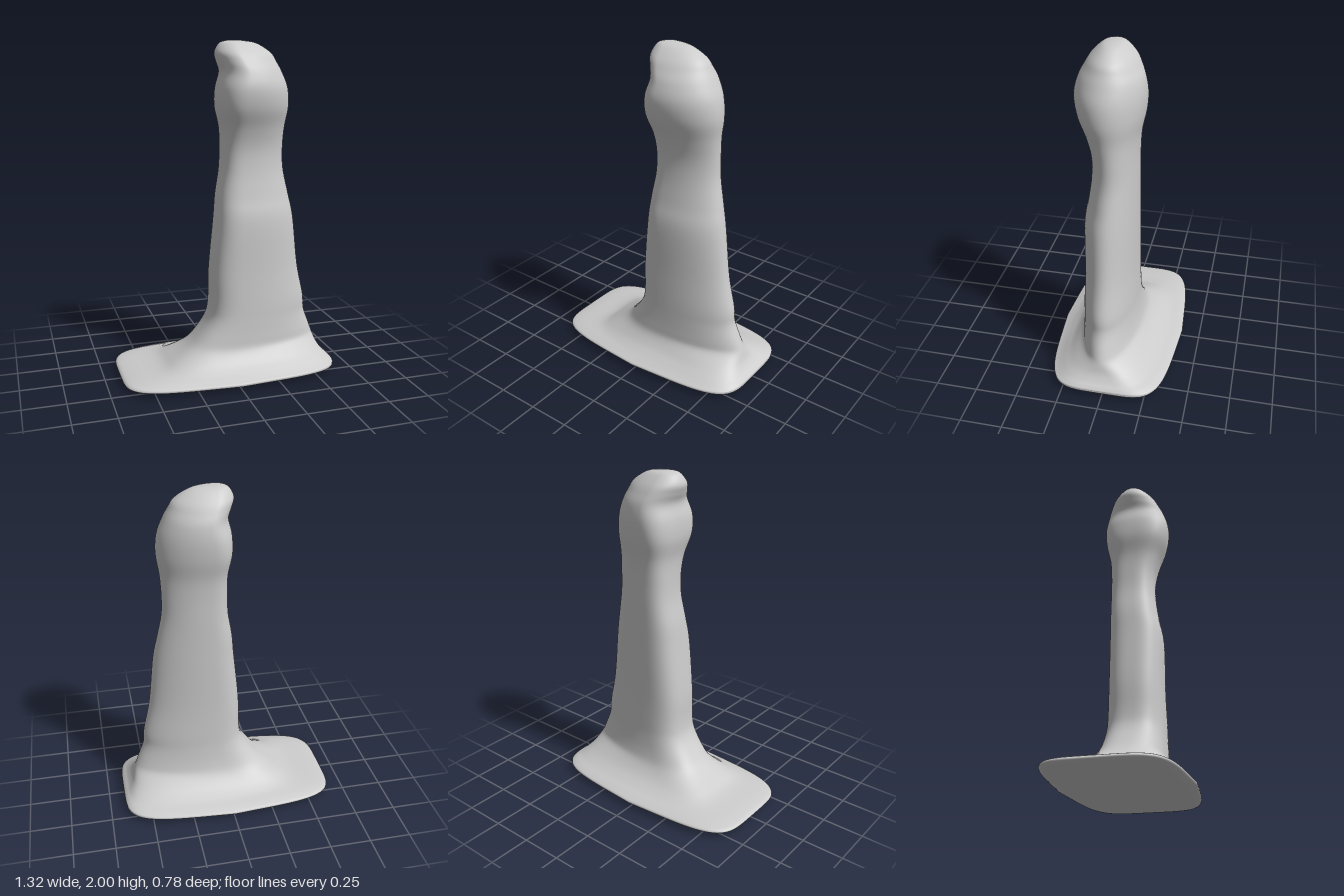
import * as THREE from 'three';

// Cross-sections from bottom to top: y, right edge x, left edge x, back z, front z
const SECTIONS = [
  [0.005, 0, 0, 0, 0],
  [0.0, -0.3, 0.34, -0.19, 0.19],
  [0.018, -0.62, 0.62, -0.36, 0.36],
  [0.04, -0.655, 0.655, -0.39, 0.39],
  [0.058, -0.59, 0.645, -0.355, 0.36],
  [0.08, -0.43, 0.62, -0.29, 0.32],
  [0.12, -0.345, 0.592, -0.22, 0.265],
  [0.18, -0.255, 0.572, -0.165, 0.22],
  [0.25, -0.19, 0.545, -0.14, 0.21],
  [0.35, -0.125, 0.507, -0.125, 0.205],
  [0.45, -0.105, 0.498, -0.12, 0.203],
  [0.65, -0.1, 0.455, -0.115, 0.2],
  [0.95, -0.07, 0.42, -0.115, 0.2],
  [1.1, -0.055, 0.39, -0.115, 0.175],
  [1.25, -0.03, 0.36, -0.115, 0.155],
  [1.38, -0.025, 0.355, -0.115, 0.155],
  [1.5, -0.03, 0.36, -0.122, 0.185],
  [1.62, -0.055, 0.375, -0.145, 0.235],
  [1.73, -0.055, 0.365, -0.152, 0.252],
  [1.82, -0.037, 0.33, -0.14, 0.23],
  [1.88, -0.057, 0.298, -0.115, 0.2],
  [1.93, -0.07, 0.265, -0.085, 0.168],
  [1.98, -0.045, 0.185, -0.035, 0.115],
  [1.996, -0.01, 0.11, 0.0, 0.08],
  [2.0, 0.04, 0.04, 0.04, 0.04],
];
const AROUND = 96;
const STEPS = 5;
const { lerp, smoothstep } = THREE.MathUtils;

// Catmull-Rom blend of four neighbouring values
function spline(a, b, c, d, t) {
  const m0 = (c - a) / 2, m1 = (d - b) / 2;
  return b + m0 * t + (3 * (c - b) - 2 * m0 - m1) * t * t + (2 * (b - c) + m0 + m1) * t * t * t;
}

function sectionAt(i, t) {
  const row = (n) => SECTIONS[Math.min(Math.max(n, 0), SECTIONS.length - 1)];
  return row(i).map((v, c) => spline(row(i - 1)[c], v, row(i + 1)[c], row(i + 2)[c], t));
}

// One ring: a broad rounded slab low down, an egg-shaped column above, a narrow brow at the top
function addRing(out, [y, x0, x1, z0, z1]) {
  const base = 1 - smoothstep(y, 0.04, 0.2);
  const head = smoothstep(y, 1.6, 1.9);
  const xc = lerp(x0, x1, lerp(0.34, 0.5, base));
  const zc = (z0 + z1) / 2;
  const nBlunt = lerp(lerp(2.8, 1.85, head), 5, base);
  const nTaper = lerp(2, 5, base);
  for (let j = 0; j < AROUND; j++) {
    const a = (j / AROUND) * Math.PI * 2;
    const c = Math.cos(a), s = Math.sin(a);
    const n = c < 0 ? nBlunt : nTaper;
    const u = Math.sign(c) * Math.abs(c) ** (2 / n);
    const w = Math.sign(s) * Math.abs(s) ** (2 / n) * (1 - 0.12 * base * Math.abs(u));
    out.push(xc + u * (c < 0 ? xc - x0 : x1 - xc), y, zc + w * (z1 - z0) / 2);
  }
}

function loftGeometry() {
  const positions = [], index = [];
  const rings = (SECTIONS.length - 1) * STEPS;
  for (let r = 0; r <= rings; r++) {
    const i = Math.min(Math.floor(r / STEPS), SECTIONS.length - 2);
    addRing(positions, sectionAt(i, r / STEPS - i));
  }
  for (let r = 0; r < rings; r++) {
    for (let j = 0; j < AROUND; j++) {
      const a = r * AROUND + j, b = r * AROUND + ((j + 1) % AROUND);
      const c = a + AROUND, d = b + AROUND;
      if (r > 0) index.push(a, c, b);
      if (r < rings - 1) index.push(b, c, d);
      else index.push(a, c, b);
    }
  }
  // The first strip closes the underside
  for (let j = 0; j < AROUND; j++) {
    const b = (j + 1) % AROUND;
    index.push(b, j + AROUND, b + AROUND);
  }
  const geometry = new THREE.BufferGeometry();
  geometry.setAttribute('position', new THREE.Float32BufferAttribute(positions, 3));
  geometry.setIndex(index);
  geometry.computeVertexNormals();
  return geometry;
}

export function createModel() {
  const group = new THREE.Group();
  group.name = 'figure';
  const material = new THREE.MeshStandardMaterial({ color: 0xcccccc });
  // Column flowing into its flared base as one skin
  const body = new THREE.Mesh(loftGeometry(), material);
  body.name = 'columnAndBase';
  group.add(body);
  return group;
}
